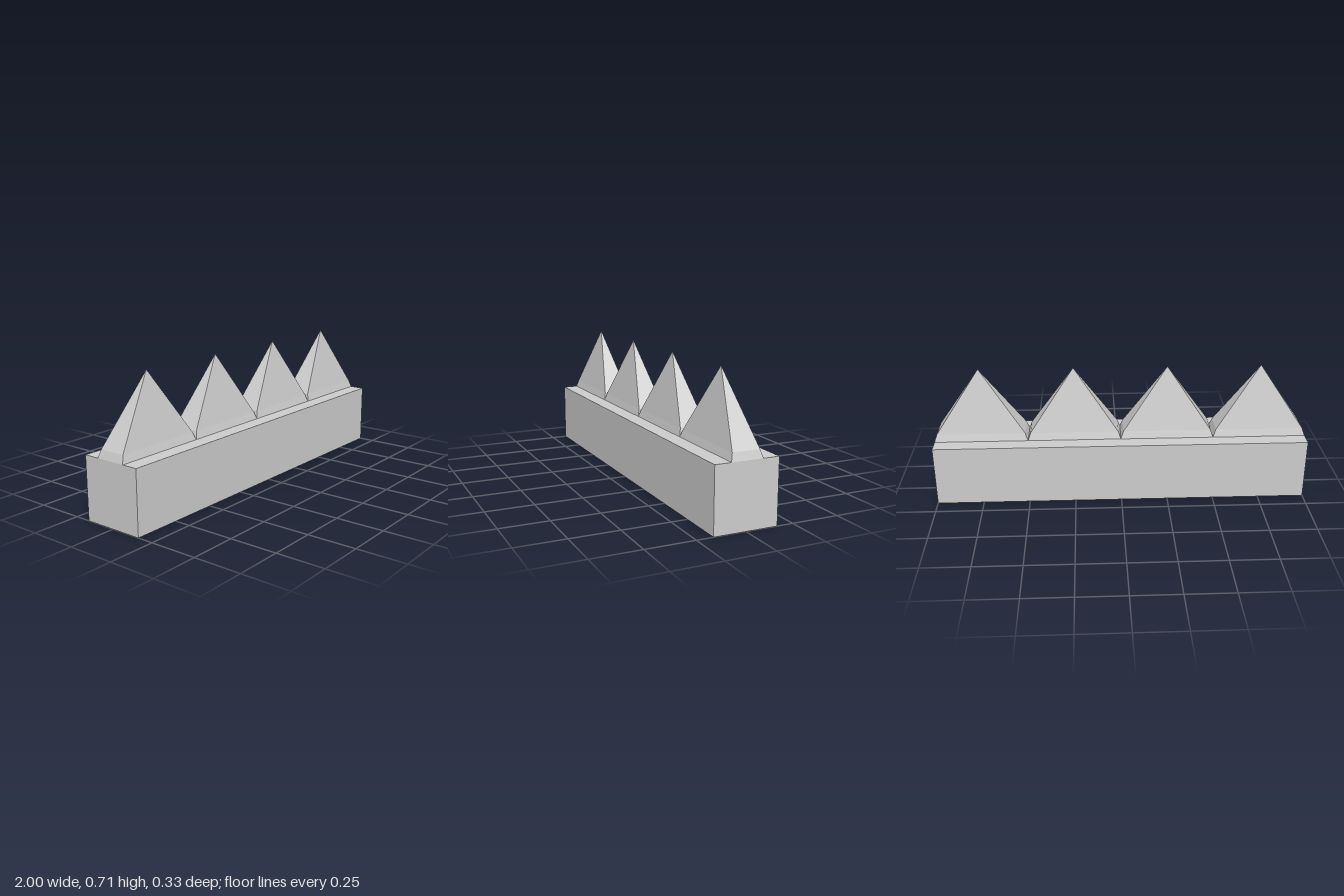
import * as THREE from 'three';

const material = new THREE.MeshStandardMaterial({ color: 0xcccccc, flatShading: true });

// Spike cross-sections: height, half width in x, half depth in z
const RINGS = [
  [0.33, 0.25, 0.082],
  [0.37, 0.236, 0.071],
  [0.715, 0, 0],
];

// Four-sided spike with a short flared foot, built ring by ring
function spikeGeometry() {
  const corners = [[1, 1], [1, -1], [-1, -1], [-1, 1]];
  const positions = [];
  const indices = [];
  for (const [y, hx, hz] of RINGS) {
    for (const [sx, sz] of corners) positions.push(sx * hx, y, sz * hz);
  }
  for (let r = 0; r < RINGS.length - 1; r++) {
    for (let i = 0; i < 4; i++) {
      const a = r * 4 + i;
      const b = r * 4 + (i + 1) % 4;
      indices.push(a, b, a + 4);
      // The last ring is a single point, so its upper triangles are left out
      if (r < RINGS.length - 2) indices.push(b, b + 4, a + 4);
    }
  }
  const geometry = new THREE.BufferGeometry();
  geometry.setAttribute('position', new THREE.Float32BufferAttribute(positions, 3));
  geometry.setIndex(indices);
  const flat = geometry.toNonIndexed();
  flat.computeVertexNormals();
  return flat;
}

export function createModel() {
  const group = new THREE.Group();
  group.name = 'spikeStrip';

  // Base beam
  const base = new THREE.Mesh(new THREE.BoxGeometry(2, 0.33, 0.33), material);
  base.name = 'base';
  base.position.y = 0.165;
  group.add(base);

  // Row of spikes
  const geometry = spikeGeometry();
  for (let i = 0; i < 4; i++) {
    const spike = new THREE.Mesh(geometry, material);
    spike.name = `spike${i + 1}`;
    spike.position.x = -0.75 + i * 0.5;
    group.add(spike);
  }
  return group;
}
